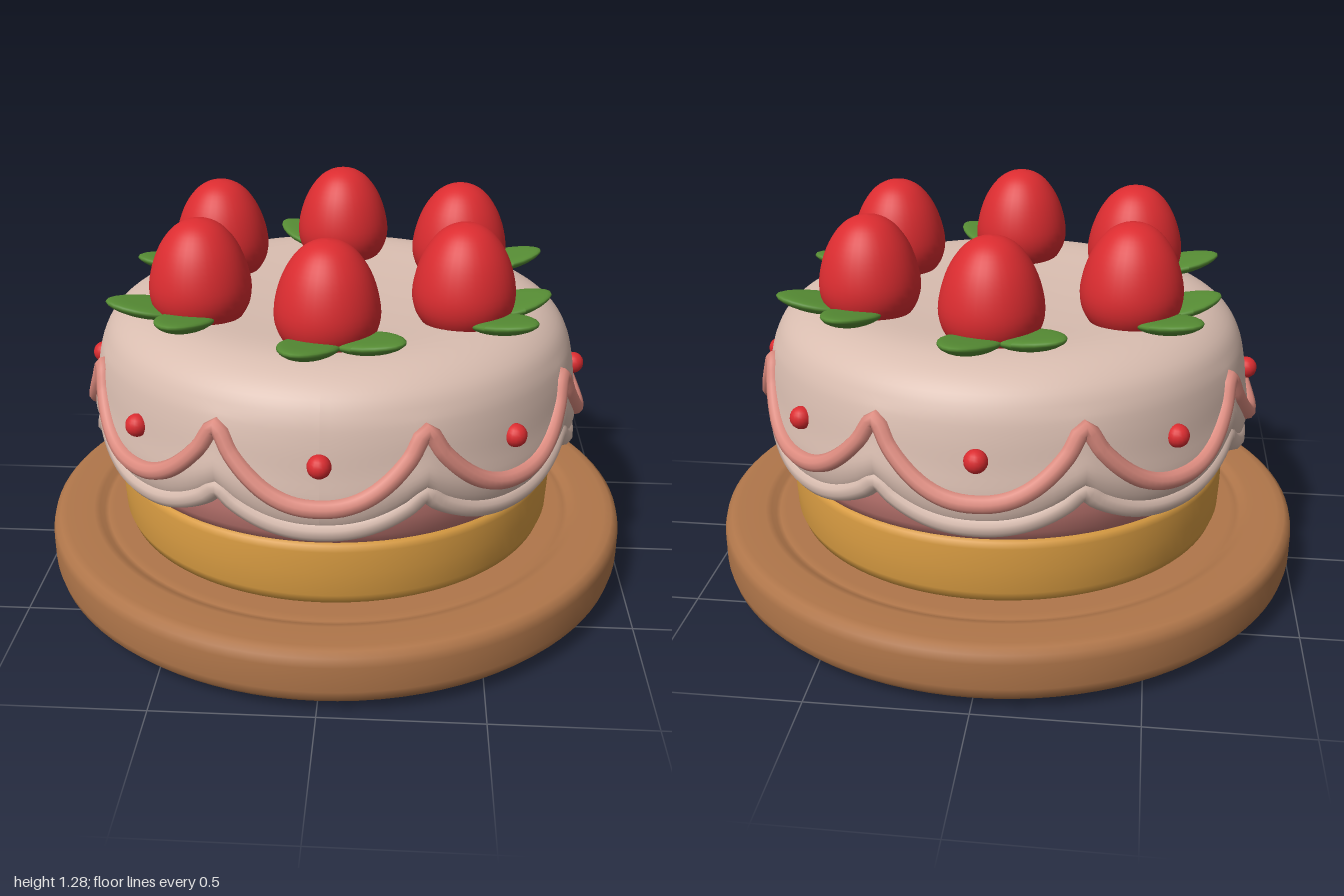
import * as THREE from 'three';

const SCALLOPS = 8, STEP = Math.PI * 2 / SCALLOPS;

const material = (name, color) => {
  const m = new THREE.MeshStandardMaterial({ color });
  m.name = name;
  return m;
};

// Height of a scalloped edge: lowest mid-swag, highest at the cusps.
function scallopHeight(angle, low, high) {
  const u = Math.abs(angle / STEP - Math.round(angle / STEP)) * 2;
  return low + (high - low) * Math.pow(u, 2.3);
}

// Smooth profile of revolution, points listed from the bottom upwards.
function lathe(points, segments = 96) {
  return new THREE.LatheGeometry(points.map(([r, y]) => new THREE.Vector2(r, y)), segments);
}

function smoothLathe(points, samples, segments) {
  const curve = new THREE.SplineCurve(points.map(([r, y]) => new THREE.Vector2(r, y)));
  const pts = curve.getPoints(samples);
  pts.forEach(p => { p.x = Math.max(0, p.x); });
  return new THREE.LatheGeometry(pts, segments);
}

// Closed tube that follows the scallops round the cake.
function scallopRing(low, high, radiusAt, thickness) {
  const pts = [], perSwag = 12, count = SCALLOPS * perSwag;
  for (let i = 0; i < count; i++) {
    const a = i / count * Math.PI * 2;
    const y = scallopHeight(a, low, high), r = radiusAt(y);
    pts.push(new THREE.Vector3(Math.sin(a) * r, y, Math.cos(a) * r));
  }
  return new THREE.TubeGeometry(new THREE.CatmullRomCurve3(pts, true), 288, thickness, 10, true);
}

// Domed icing whose skirt is stretched to meet the scalloped edge.
function icingGeometry() {
  const bottom = 0.47, fixed = 0.86;
  const g = smoothLathe([
    [0.77, 0.47], [0.805, 0.5], [0.82, 0.58], [0.808, 0.68], [0.795, 0.78], [0.775, 0.86],
    [0.735, 0.92], [0.66, 0.963], [0.55, 0.98], [0.35, 0.968], [0.15, 0.96], [0, 0.96],
  ], 44, 160);
  const p = g.attributes.position;
  for (let i = 0; i < p.count; i++) {
    const y = p.getY(i);
    if (y >= fixed) continue;
    const edge = scallopHeight(Math.atan2(p.getX(i), p.getZ(i)), 0.5, 0.61);
    p.setY(i, edge + (y - bottom) / (fixed - bottom) * (fixed - edge));
  }
  g.computeVertexNormals();
  return g;
}

// Plump leaf along +z, tapered and curling up at the tip.
function leafGeometry() {
  const g = new THREE.SphereGeometry(1, 20, 14);
  const p = g.attributes.position;
  for (let i = 0; i < p.count; i++) {
    const x = p.getX(i), y = p.getY(i), z = p.getZ(i);
    const taper = 1 - 0.18 * z;
    p.setXYZ(i, x * 0.088 * taper, y * 0.024 + 0.022 * z + 0.012 * z * z + 0.012 * x * x, z * 0.125);
  }
  g.computeVertexNormals();
  return g;
}

export function createModel() {
  const cake = new THREE.Group();
  cake.name = 'cake';

  const wood = material('wood brown', 0xb0764a);
  const sponge = material('golden sponge', 0xd99c42);
  const filling = material('pink filling', 0xc77c76);
  const cream = material('cream icing', 0xd9bdb0);
  const piping = material('pink piping', 0xdc8b7f);
  const red = material('strawberry red', 0xdb2c30);
  const green = material('leaf green', 0x568c34);

  const add = (name, geometry, mat, parent = cake) => {
    const mesh = new THREE.Mesh(geometry, mat);
    mesh.name = name;
    parent.add(mesh);
    return mesh;
  };

  // Board with a foot and a shallow groove on top
  add('board', lathe([
    [0, 0], [0.77, 0], [0.79, 0.006], [0.81, 0.024], [0.84, 0.024], [0.86, 0.014], [0.9, 0.014],
    [0.97, 0.036], [0.992, 0.06], [1, 0.09], [1, 0.175], [0.993, 0.203], [0.975, 0.217], [0.95, 0.22],
    [0.86, 0.22], [0.84, 0.217], [0.825, 0.204], [0.81, 0.204], [0.79, 0.212], [0, 0.212],
  ]), wood);

  // Cake layers
  add('spongeLayer', lathe([
    [0.7, 0.205], [0.73, 0.218], [0.742, 0.25], [0.746, 0.33], [0.746, 0.405], [0.74, 0.425],
    [0.725, 0.432], [0, 0.432],
  ]), sponge);
  add('fillingLayer', lathe([
    [0, 0.428], [0.72, 0.428], [0.742, 0.438], [0.76, 0.47], [0.778, 0.53], [0.783, 0.6], [0.775, 0.7], [0.7, 0.75],
  ]), filling);

  // Icing, its rolled edge and the piped swags
  add('icing', icingGeometry(), cream);
  add('icingEdge', scallopRing(0.51, 0.615, () => 0.785, 0.036), cream);
  add('swagPiping', scallopRing(0.598, 0.81, y => 0.822 - (y - 0.6) * 0.15, 0.028), piping);

  // One small bead in each swag
  const beadGeometry = new THREE.SphereGeometry(0.036, 16, 12);
  for (let i = 0; i < SCALLOPS; i++) {
    const a = i * STEP;
    add('bead', beadGeometry, red).position.set(Math.sin(a) * 0.808, 0.728, Math.cos(a) * 0.808);
  }

  // Ring of strawberries, each with two leaves on the outer side
  const berryGeometry = smoothLathe([
    [0, 0.93], [0.1, 0.945], [0.145, 0.99], [0.162, 1.05], [0.153, 1.12], [0.127, 1.19],
    [0.088, 1.245], [0.045, 1.274], [0, 1.283],
  ], 28, 36);
  const leaf = leafGeometry();
  for (let i = 0; i < 6; i++) {
    const a = i * Math.PI / 3;
    const group = new THREE.Group();
    group.name = 'strawberry';
    const distance = i % 3 === 0 ? 0.435 : 0.48;
    group.position.set(Math.sin(a) * distance, 0, Math.cos(a) * distance);
    group.rotation.y = a;
    add('berry', berryGeometry, red, group);
    for (const turn of [0.87, -0.29]) {
      const m = add('leaf', leaf, green, group);
      m.position.set(Math.sin(turn) * 0.175, 0.995, Math.cos(turn) * 0.175);
      m.rotation.y = turn;
    }
    cake.add(group);
  }
  return cake;
}
